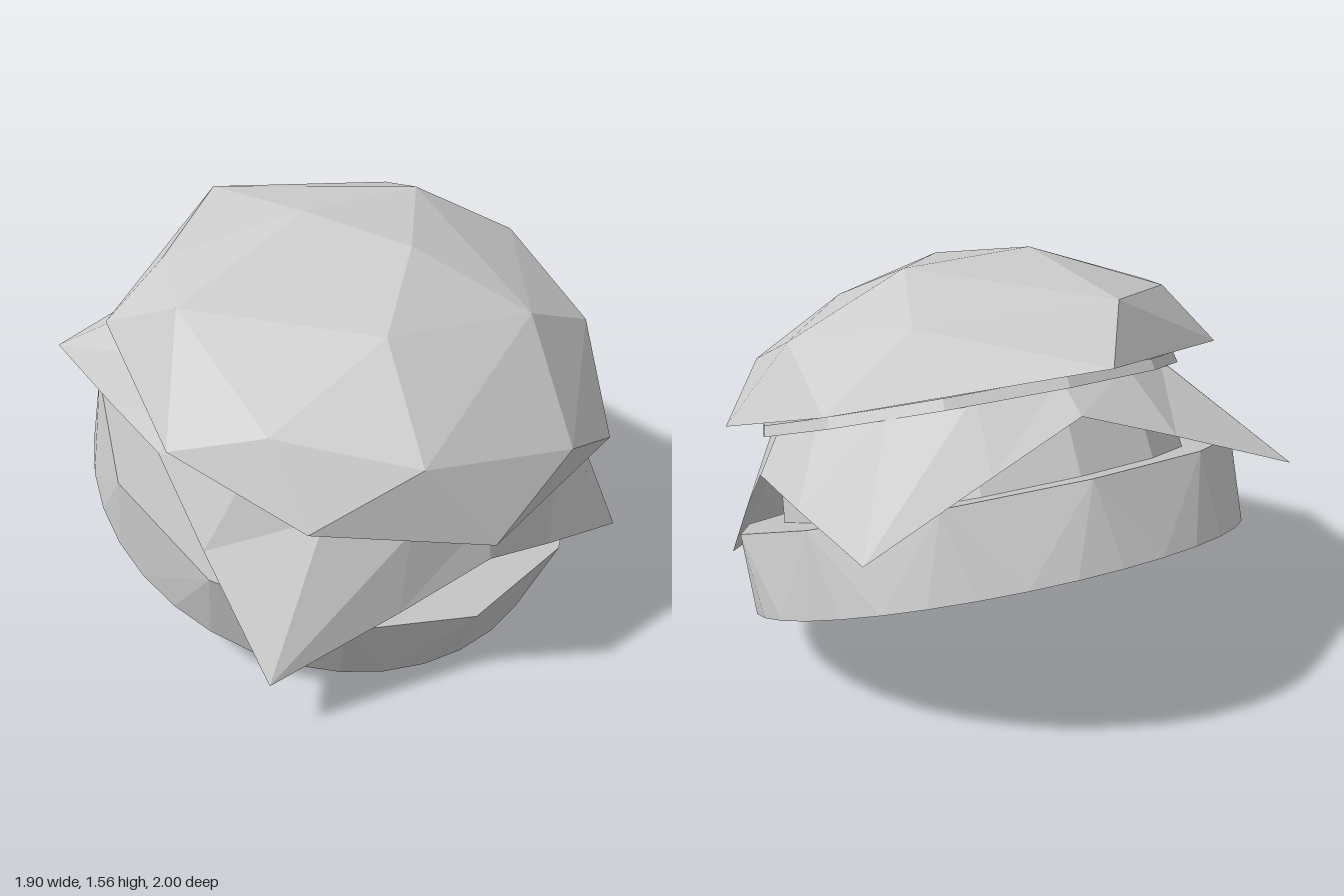
import * as THREE from 'three';
import { ConvexGeometry } from 'three/addons/geometries/ConvexGeometry.js';

const material = new THREE.MeshStandardMaterial({ color: 0xcccccc, flatShading: true, side: THREE.DoubleSide });

function part(name, geometry, parent, y = 0) {
  const mesh = new THREE.Mesh(geometry, material);
  mesh.name = name;
  mesh.position.y = y;
  parent.add(mesh);
  return mesh;
}

function ring(radius, y, count, offset = 0) {
  return Array.from({ length: count }, (_, i) => {
    const a = offset + (i / count) * Math.PI * 2;
    return new THREE.Vector3(radius * Math.sin(a), y, radius * Math.cos(a));
  });
}

// Square slice: a round flat top, then a skirt hanging to four low corners
function cheeseGeometry() {
  const profile = [[0, 0.635], [0.5, 0.635], [0.76, 0.635], [0.85, 0.5]].map((v) => new THREE.Vector2(...v));
  const hem = [[0.85, 0.5], [0.91, 0.37], [1.15, 0.19], [0.91, 0.37]];
  const geometry = new THREE.LatheGeometry(profile, 16);
  const p = geometry.attributes.position;
  for (let i = 0; i <= 16; i++) {
    const a = (i / 16) * Math.PI * 2;
    const [r, y] = hem[i % 4];
    p.setXYZ(i * 4 + 3, r * Math.sin(a), y, r * Math.cos(a));
  }
  geometry.computeVertexNormals();
  return geometry;
}

export function createModel() {
  const model = new THREE.Group();
  model.name = 'burger';

  // Lower layers share one frame that leans forward
  const stack = new THREE.Group();
  stack.name = 'lowerLayers';
  stack.position.set(0, 0.385, -0.15);
  stack.rotation.x = 0.426;
  model.add(stack);

  // Round base with a coarser upper rim
  part('bottomBun', new ConvexGeometry([...ring(0.935, 0, 36), ...ring(0.95, 0.305, 12, -0.06)]), stack);
  part('patty', new THREE.CylinderGeometry(0.74, 0.77, 0.27, 14), stack, 0.435);
  part('cheese', cheeseGeometry(), stack);
  part('tomatoSlice', new THREE.CylinderGeometry(0.8, 0.81, 0.04, 12), stack, 0.65).rotation.x = -0.04;

  // Faceted, slightly irregular dome
  const rim = [
    [-0.14, 0.7, 1.0], [0.57, 0.77, 0.81], [0.91, 0.97, 0.24], [0.77, 1.22, -0.41],
    [-0.08, 1.36, -0.77], [-0.83, 1.19, -0.31], [-0.93, 0.98, 0.28], [-0.69, 0.81, 0.73],
  ];
  const shoulder = [
    [-0.35, 1.0, 0.88], [0.24, 0.9, 0.94], [0.69, 1.1, 0.53], [0.71, 1.31, 0.08],
    [-0.64, 1.41, -0.22], [-0.74, 1.35, 0.05], [-0.7, 1.07, 0.53],
  ];
  const crown = [
    [-0.25, 1.3, 0.55], [0.3, 1.27, 0.64], [0.02, 1.48, 0.33], [0.3, 1.54, 0],
    [-0.2, 1.555, 0], [0.42, 1.44, -0.34], [-0.24, 1.5, -0.54],
  ];
  const points = [...rim, ...shoulder, ...crown].map((v) => new THREE.Vector3(...v));
  part('topBun', new ConvexGeometry(points), model);

  return model;
}
